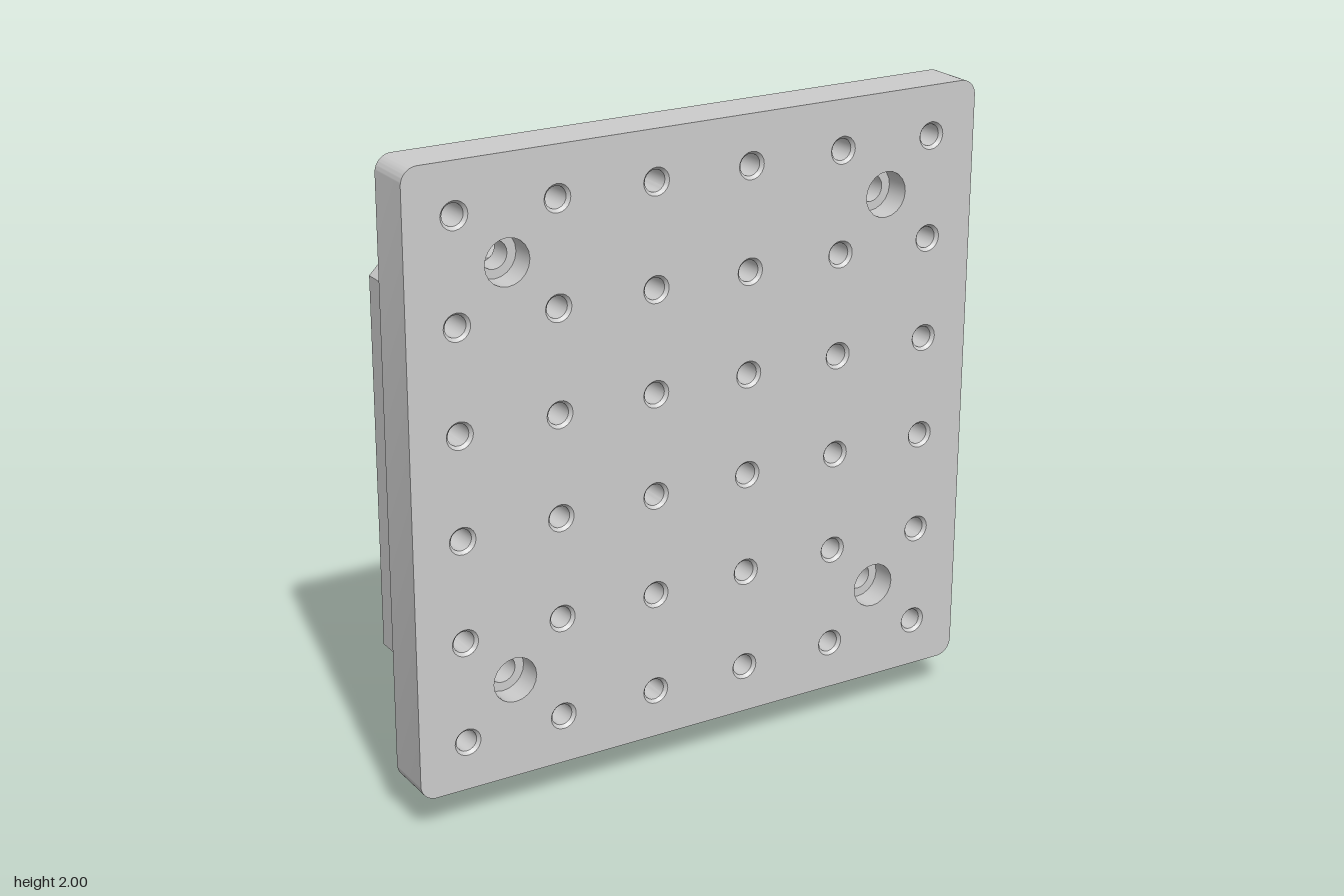
import * as THREE from 'three';
import { toCreasedNormals } from 'three/addons/utils/BufferGeometryUtils.js';

const mat = new THREE.MeshStandardMaterial({ color: 0xcccccc });
const PI = Math.PI;

function add(parent, name, geo) {
  const m = new THREE.Mesh(toCreasedNormals(geo, 0.6), mat);
  m.name = name;
  parent.add(m);
  return m;
}

const extrude = (shape, depth) =>
  new THREE.ExtrudeGeometry(shape, { depth, bevelEnabled: false, curveSegments: 10 });

// shape in (x, y), from z0 to z1
const alongZ = (p, n, s, z0, z1) => add(p, n, extrude(s, z1 - z0).translate(0, 0, z0));
// shape in (-z, y), from x0 to x1
const alongX = (p, n, s, x0, x1) => add(p, n, extrude(s, x1 - x0).rotateY(PI / 2).translate(x0, 0, 0));
// shape in (x, -z), from y0 to y1
const alongY = (p, n, s, y0, y1) => add(p, n, extrude(s, y1 - y0).rotateX(-PI / 2).translate(0, y0, 0));

const poly = (pts) => new THREE.Shape(pts.map(([x, y]) => new THREE.Vector2(x, y)));

function roundRect(x0, y0, x1, y1, r) {
  const s = new THREE.Shape();
  s.moveTo(x0 + r, y0);
  s.absarc(x1 - r, y0 + r, r, -PI / 2, 0);
  s.absarc(x1 - r, y1 - r, r, 0, PI / 2);
  s.absarc(x0 + r, y1 - r, r, PI / 2, PI);
  s.absarc(x0 + r, y0 + r, r, PI, 1.5 * PI);
  return s;
}

function hole(shape, x, y, r) {
  const h = new THREE.Path();
  h.absarc(x, y, r, 0, 2 * PI, true);
  shape.holes.push(h);
}

// Inner wall of a stepped or chamfered hole: opening R, bore r, chamfer c
function bore(parent, name, x, y, z0, z1, R, r, c) {
  const pts = [[R, z1], [r, z1 - c], [r, z0 + c], [R, z0]].map(([a, b]) => new THREE.Vector2(a, b));
  add(parent, name, new THREE.LatheGeometry(pts, 20).rotateX(PI / 2).translate(x, y, 0));
}

function basePlate(root) {
  const g = new THREE.Group();
  g.name = 'mountingPlate';
  const s = roundRect(-0.945, 0.115, 0.945, 2, 0.05);
  for (let i = 0; i < 6; i++) {
    for (let j = 0; j < 6; j++) {
      const x = (i - 2.5) * 0.316, y = 1.057 + (j - 2.5) * 0.316;
      hole(s, x, y, 0.042);
      bore(g, 'threadedHole', x, y, 0.175, 0.33, 0.042, 0.033, 0.01);
    }
  }
  for (const x of [-0.632, 0.632]) {
    for (const y of [0.426, 1.69]) {
      hole(s, x, y, 0.07);
      bore(g, 'counterbore', x, y, 0.175, 0.25, 0.07, 0.042, 0);
    }
  }
  alongZ(g, 'plate', s, 0.175, 0.33);
  root.add(g);
}

function backPlate(root) {
  // rounded on one side, chamfered on the other
  const s = new THREE.Shape();
  s.moveTo(-0.88, 0.46);
  s.absarc(0.555, 0.5, 0.04, -PI / 2, 0);
  s.absarc(0.555, 1.617, 0.04, 0, PI / 2);
  s.lineTo(-0.88, 1.657);
  s.lineTo(-0.915, 1.622);
  s.lineTo(-0.915, 0.495);
  for (const x of [-0.79, 0.474]) for (const y of [0.583, 1.531]) hole(s, x, y, 0.042);
  alongZ(root, 'backPlate', s, 0.05, 0.175);
}

function carrier(root) {
  const g = new THREE.Group();
  g.name = 'slideBracket';
  const cy = 1.055, x0 = -0.175, x1 = 0.235;
  // C-shaped core
  alongX(g, 'bracketCore', poly([
    [-0.05, cy - 0.295], [0.06, cy - 0.295], [0.06, cy + 0.295], [-0.05, cy + 0.295],
    [-0.05, cy + 0.235], [0.01, cy + 0.235], [0.02, cy + 0.225],
    [0.02, cy - 0.225], [0.01, cy - 0.235], [-0.05, cy - 0.235],
  ]), x0, x1);
  for (const side of [-1, 1]) {
    // drilled back strip
    const a = cy + side * 0.23, b = cy + side * 0.295;
    const strip = roundRect(x0, Math.min(a, b), x1, Math.max(a, b), 0.001);
    for (const [x, r] of [[-0.11, 0.02], [0.005, 0.01], [0.045, 0.01], [0.17, 0.02]]) {
      hole(strip, x, cy + side * 0.265, r);
    }
    alongZ(g, 'bracketStrip', strip, -0.11, -0.06);
    // drilled outer cap
    const cap = roundRect(x0, -0.05, x1, 0.11, 0.004);
    for (const x of [-0.04, 0.1]) hole(cap, x, 0.055, 0.018);
    const y0 = side > 0 ? cy + 0.295 : cy - 0.325;
    alongY(g, 'bracketCap', cap, y0, y0 + 0.03);
  }
  root.add(g);
}

function slide(root) {
  const g = new THREE.Group();
  g.name = 'slideBody';
  const cy = 1.055;
  // upper half of the ribbed profile, mirrored for the lower half
  const half = [
    [0.22, 0.125], [0.192, 0.19], [0.172, 0.19], [0.168, 0.178], [0.158, 0.178], [0.154, 0.2],
    [0.135, 0.2], [0.13, 0.182], [0.118, 0.182], [0.114, 0.222], [0.1, 0.222], [0.096, 0.19], [0.06, 0.19],
  ];
  const outline = [
    ...half.map(([u, v]) => [u, cy + v]),
    ...half.map(([u, v]) => [u, cy - v]).reverse(),
  ];
  const body = poly(outline);
  hole(body, 0.13, cy, 0.04);
  alongX(g, 'ribbedBody', body, -0.23, 0.29);
  for (const x of [-0.25, 0.29]) {
    const end = poly(outline);
    hole(end, 0.13, cy, 0.04);
    for (const v of [-0.15, 0.15]) hole(end, 0.113, cy + v, 0.02);
    alongX(g, 'endPlate', end, x, x + 0.02);
  }
  // open clamp collars at both ends
  const collar = new THREE.Shape();
  collar.moveTo(0.2, cy + 0.042);
  collar.lineTo(0.2, cy + 0.055);
  for (const [u, v] of [[0.165, 0.08], [0.105, 0.08], [0.066, 0.045], [0.066, -0.045],
    [0.105, -0.08], [0.165, -0.08], [0.2, -0.055], [0.2, -0.042]]) collar.lineTo(u, cy + v);
  collar.lineTo(0.15, cy - 0.035);
  collar.absarc(0.13, cy, 0.04, -1.05, 1.05, true);
  collar.lineTo(0.15, cy + 0.035);
  for (const x of [-0.33, 0.31]) alongX(g, 'collar', collar, x, x + 0.08);
  // small end screw
  add(g, 'endScrew', new THREE.CylinderGeometry(0.025, 0.025, 0.035, 20)
    .rotateZ(PI / 2).translate(0.325, 0.955, -0.09));
  root.add(g);
}

function handle(root) {
  const g = new THREE.Group();
  g.name = 'handle';
  const c = -0.316, w = 0.265, r = 0.1;
  // flange with a flared stem below
  const f = new THREE.Shape();
  f.moveTo(c - 0.03, 0.08);
  f.lineTo(c + 0.03, 0.08);
  f.quadraticCurveTo(c + 0.03, 0.156, c + 0.1, 0.156);
  f.absarc(c + w - r, 0.156 + r, r, -PI / 2, 0);
  f.absarc(c + w - r, 0.38 - r, r, 0, PI / 2);
  f.absarc(c - w + r, 0.38 - r, r, PI / 2, PI);
  f.absarc(c - w + r, 0.156 + r, r, PI, 1.5 * PI);
  f.lineTo(c - 0.1, 0.156);
  f.quadraticCurveTo(c - 0.03, 0.156, c - 0.03, 0.08);
  for (const x of [c - 0.158, c + 0.158]) {
    hole(f, x, 0.267, 0.072);
    bore(g, 'handleCounterbore', x, 0.267, 0.115, 0.175, 0.072, 0.042, 0);
  }
  alongZ(g, 'handleFlange', f, 0.05, 0.175);
  // upright grip fin
  const s = new THREE.Shape();
  s.moveTo(-0.09, 0);
  s.absarc(0.245, 0.085, 0.085, -PI / 2, 0);
  s.absarc(0.24, 0.17, 0.09, 0, PI / 2);
  s.lineTo(0.07, 0.26);
  s.quadraticCurveTo(-0.015, 0.26, -0.05, 0.38);
  s.lineTo(-0.175, 0.38);
  s.absarc(-0.09, 0.085, 0.085, PI, 1.5 * PI);
  alongX(g, 'gripFin', s, c - 0.03, c + 0.03);
  // fillet where the fin meets the flange
  const n = new THREE.Shape();
  n.moveTo(c - 0.08, -0.05);
  n.lineTo(c + 0.08, -0.05);
  n.quadraticCurveTo(c + 0.03, -0.05, c + 0.03, 0);
  n.lineTo(c - 0.03, 0);
  n.quadraticCurveTo(c - 0.03, -0.05, c - 0.08, -0.05);
  alongY(g, 'finFillet', n, 0.156, 0.3);
  root.add(g);
}

export function createModel() {
  const root = new THREE.Group();
  root.name = 'mountingPlateAssembly';
  basePlate(root);
  backPlate(root);
  carrier(root);
  slide(root);
  handle(root);
  return root;
}
